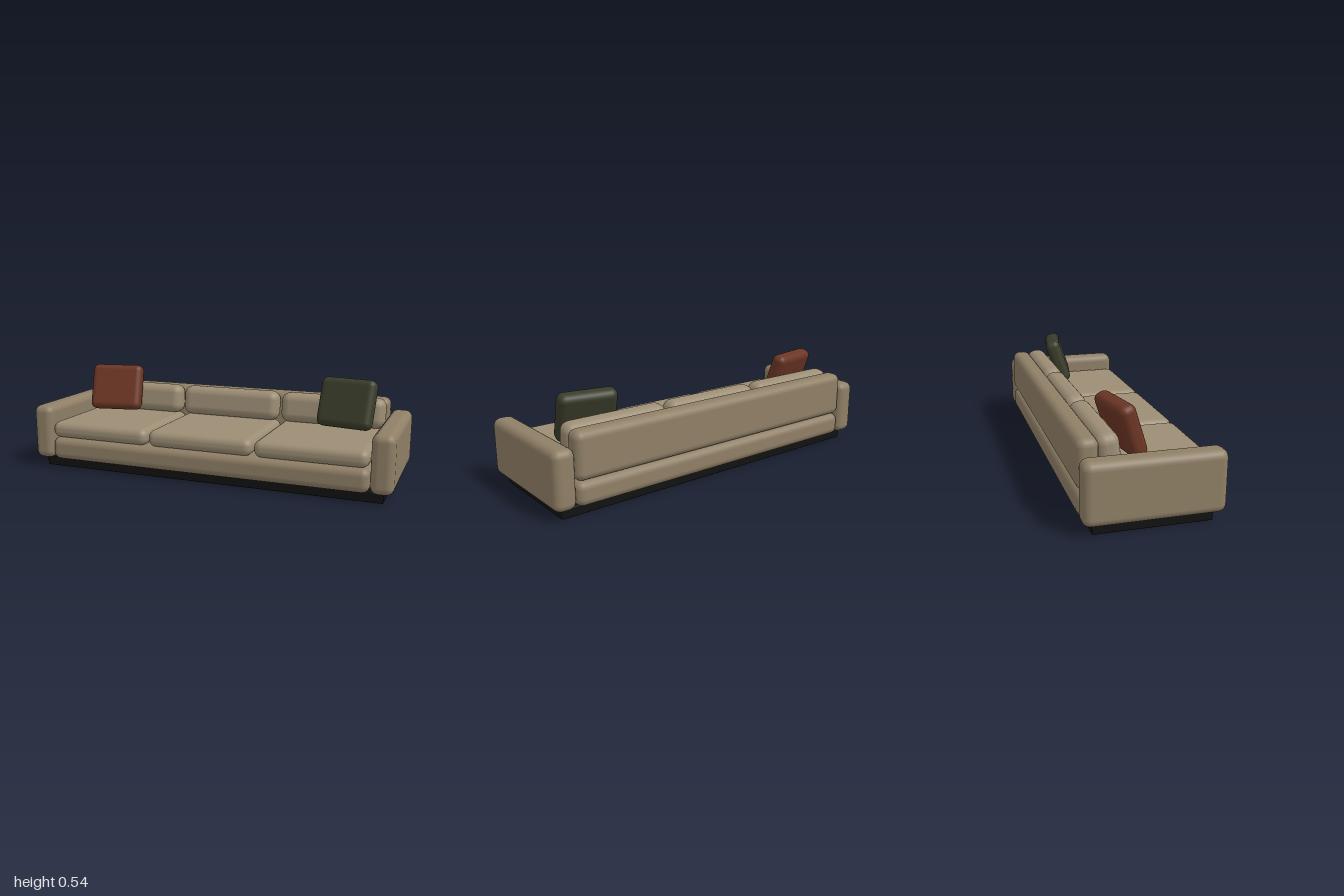
import * as THREE from 'three';
import { RoundedBoxGeometry } from 'three/addons/geometries/RoundedBoxGeometry.js';

export function createModel() {
  const sofa = new THREE.Group();
  sofa.name = 'sofa';
  const material = color => new THREE.MeshStandardMaterial({ color });
  const frame = material(0x8f7f66);
  const fabric = material(0x9c8d74);

  // Rounded block given by its size and centre
  function block(name, size, centre, radius, mat) {
    const mesh = new THREE.Mesh(new RoundedBoxGeometry(...size, 3, radius), mat);
    mesh.name = name;
    mesh.position.set(...centre);
    sofa.add(mesh);
    return mesh;
  }

  // Plinth, base and backrest
  block('plinth', [1.9, 0.05, 0.566], [0, 0.025, 0], 0.005, material(0x111111));
  block('base', [1.77, 0.125, 0.666], [0, 0.1125, 0], 0.04, frame);
  block('backrest', [1.77, 0.242, 0.105], [0, 0.296, -0.2805], 0.04, frame);

  // Arms
  for (const side of [-1, 1]) {
    block(side > 0 ? 'leftArm' : 'rightArm', [0.115, 0.3, 0.666], [side * 0.9425, 0.2, 0], 0.04, frame);
  }

  // Three seat cushions, each with a leaning back cushion
  for (const i of [-1, 0, 1]) {
    block('seatCushion', [0.58, 0.09, 0.56], [i * 0.59, 0.22, 0.053], 0.04, fabric);
    const back = block('backCushion', [0.572, 0.164, 0.112], [i * 0.59, 0.345, -0.181], 0.048, fabric);
    back.rotation.x = -0.12;
  }

  // Throw pillows, leaning back and turned towards the middle
  for (const side of [-1, 1]) {
    const pillow = block(side > 0 ? 'leftPillow' : 'rightPillow', [0.302, 0.264, 0.085],
      [side * 0.686, 0.408, -0.078], 0.035, material(side > 0 ? 0x393c29 : 0x6b3524));
    pillow.rotation.set(-0.32, -side * 0.18, 0, 'YXZ');
  }
  return sofa;
}
